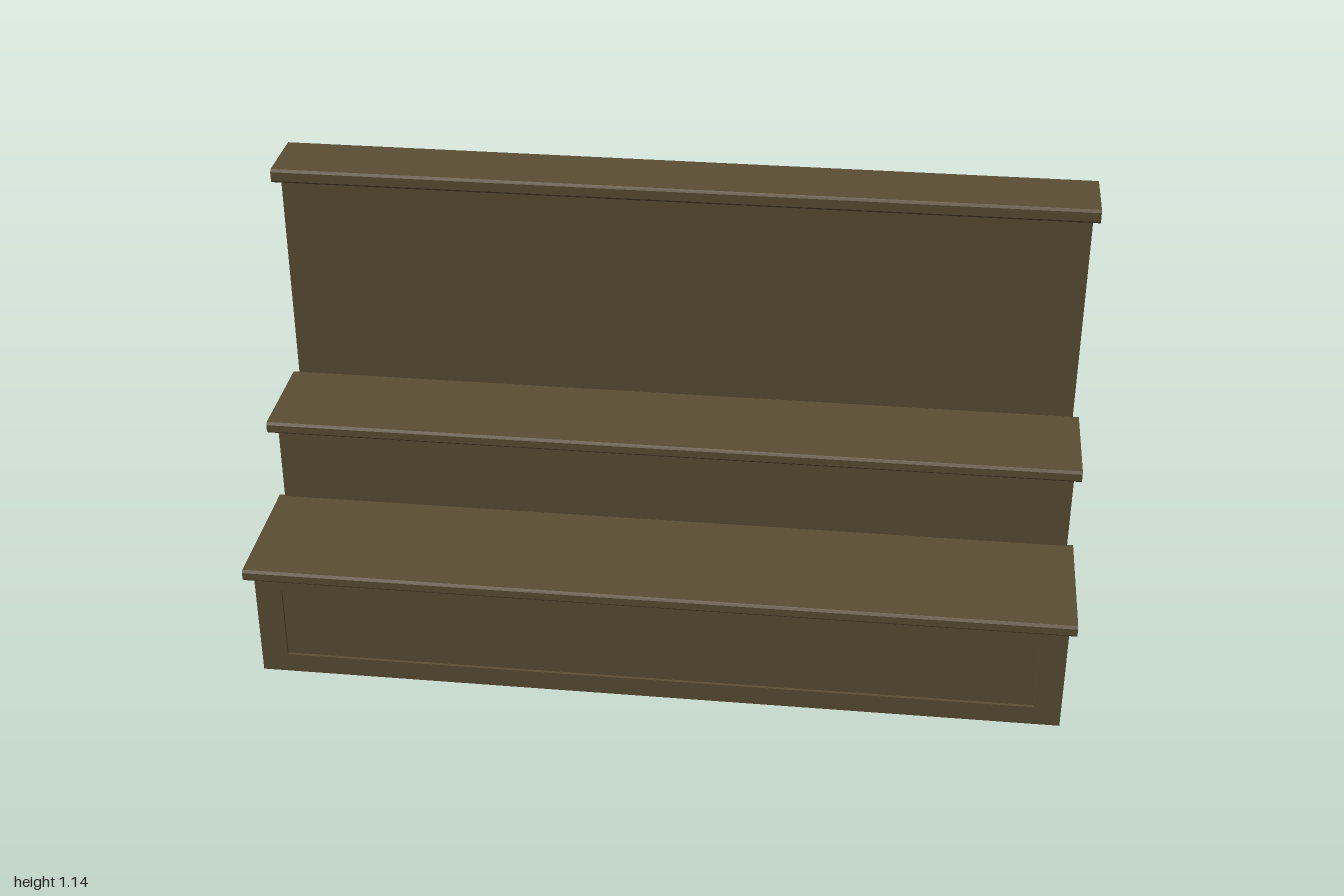
import * as THREE from 'three';

export function createModel() {
  const wood = new THREE.MeshStandardMaterial({ color: 0x5a4d35, side: THREE.DoubleSide });
  wood.name = 'dark olive wood';
  const group = new THREE.Group();
  group.name = 'steppedBench';

  const add = (name, geometry, x = 0, y = 0, z = 0) => {
    const mesh = new THREE.Mesh(geometry, wood);
    mesh.name = name;
    mesh.position.set(x, y, z);
    group.add(mesh);
    return mesh;
  };

  const HALF = 0.985; // half width between the side panels
  const BACK = -0.35;
  const polygon = (points) => new THREE.Shape(points.map(([a, b]) => new THREE.Vector2(a, b)));

  // Each level: tread underside and top, tread front and back, riser depth and foot
  const levels = [
    { name: 'lower', under: 0.29, top: 0.32, front: 0.35, back: 0, riser: 0.31, foot: 0 },
    { name: 'middle', under: 0.53, top: 0.56, front: 0.05, back: -0.215, riser: 0.005, foot: 0.29 },
    { name: 'top', under: 1.105, top: 1.14, front: -0.18, back: BACK, riser: -0.215, foot: 0.53 },
  ];

  // Treads with a softly eased front edge, overhanging the sides
  const ease = 0.006;
  for (const l of levels) {
    const section = polygon([
      [l.back, l.under], [l.front - ease, l.under], [l.front, l.under + ease],
      [l.front, l.top - ease], [l.front - ease, l.top], [l.back, l.top],
    ]);
    const tread = new THREE.ExtrudeGeometry(section, { depth: 2, bevelEnabled: false });
    tread.rotateY(-Math.PI / 2).translate(1, 0, 0);
    add(l.name + 'Tread', tread);
  }

  // Thin risers for the two upper levels; the back and underside stay open
  for (const l of levels.slice(1)) {
    const height = l.under - l.foot;
    add(l.name + 'Riser', new THREE.PlaneGeometry(HALF * 2, height), 0, l.foot + height / 2, l.riser);
  }

  // Front frame around a shallow recessed panel
  const [px, p0, p1, depth] = [0.92, 0.05, 0.24, 0.008];
  const frame = polygon([[-HALF, 0], [HALF, 0], [HALF, 0.29], [-HALF, 0.29]]);
  frame.holes.push(polygon([[-px, p0], [-px, p1], [px, p1], [px, p0]]));
  add('frontFrame', new THREE.ExtrudeGeometry(frame, { depth, bevelEnabled: false }), 0, 0, 0.31 - depth);
  add('frontPanel', new THREE.PlaneGeometry(px * 2, p1 - p0), 0, (p0 + p1) / 2, 0.31 - depth);

  // Thin stepped side panels
  const outline = [[BACK, 0]];
  for (const l of levels) outline.push([l.riser, l.foot], [l.riser, l.under]);
  outline.push([BACK, 1.105]);
  const sideGeometry = new THREE.ShapeGeometry(polygon(outline)).rotateY(-Math.PI / 2);
  add('leftSide', sideGeometry, HALF);
  add('rightSide', sideGeometry, -HALF);

  return group;
}
